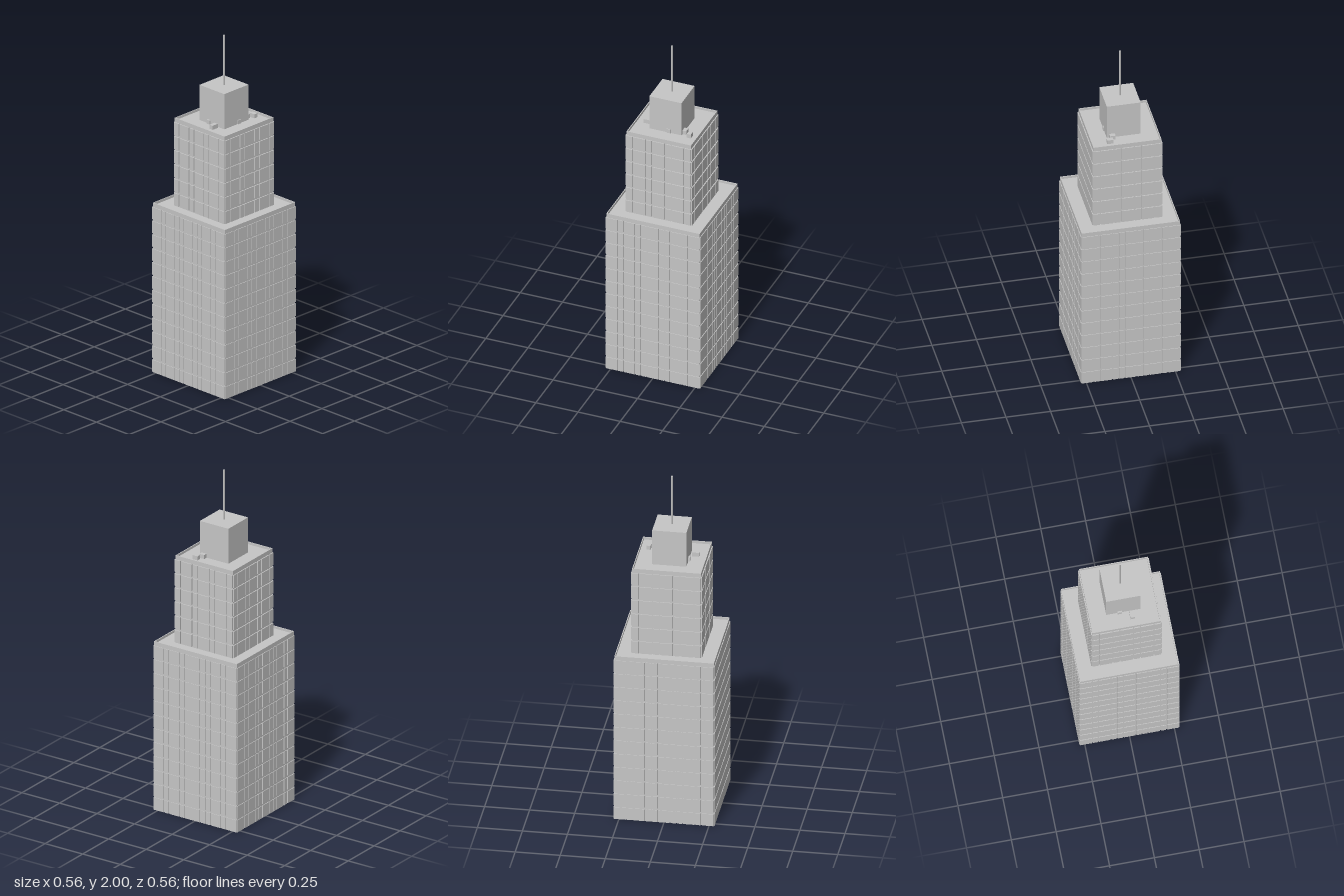
import * as THREE from 'three';
import { mergeGeometries } from 'three/addons/utils/BufferGeometryUtils.js';

const concrete = new THREE.MeshStandardMaterial({ color: 0xc6c6c6 });
concrete.name = 'concrete grey';

function add(group, name, geometry, x = 0, y = 0, z = 0) {
  const mesh = new THREE.Mesh(geometry, concrete);
  mesh.name = name;
  mesh.position.set(x, y, z);
  group.add(mesh);
  return mesh;
}

// Box given by its limits on each axis
function boxBetween(x0, x1, y0, y1, z0, z1) {
  return new THREE.BoxGeometry(x1 - x0, y1 - y0, z1 - z0)
    .translate((x0 + x1) / 2, (y0 + y1) / 2, (z0 + z1) / 2);
}

// Square tube standing on y = 0
function squareTube(outer, inner, height) {
  const square = (r) => [[-r, -r], [r, -r], [r, r], [-r, r]].map(([x, y]) => new THREE.Vector2(x, y));
  const shape = new THREE.Shape(square(outer));
  shape.holes.push(new THREE.Path(square(inner).reverse()));
  return new THREE.ExtrudeGeometry(shape, { depth: height, bevelEnabled: false }).rotateX(-Math.PI / 2);
}

// Raised facade panels of one side, column widths in relative units
function facade(wall, face, height, floors, columns) {
  const unit = (2 * wall) / columns.reduce((a, b) => a + b, 0);
  const step = height / floors;
  const gapX = 0.006, gapY = 0.01;
  const panels = [];
  for (let f = 0; f < floors; f++) {
    let x = -wall;
    columns.forEach((c, i) => {
      const x0 = x + (i === 0 ? 0 : gapX / 2);
      x += c * unit;
      const x1 = x - (i === columns.length - 1 ? 0 : gapX / 2);
      panels.push(boxBetween(x0, x1, f * step, (f + 1) * step - gapY, wall - 0.001, face));
    });
  }
  return mergeGeometries(panels);
}

// Hollow tier with parapet, roof and four panelled sides
function tier(name, base, wall, face, height, floors, columns) {
  const group = new THREE.Group();
  group.name = name;
  group.position.y = base;
  const inner = wall - 0.005;
  add(group, 'wallAndParapet', squareTube(wall, inner, height + 0.01));
  add(group, 'roof', boxBetween(-inner, inner, height - 0.012, height - 0.004, -inner, inner));
  const panels = facade(wall, face, height - 0.005, floors, columns);
  ['front', 'left', 'back', 'right'].forEach((side, i) => {
    add(group, side + 'Panels', panels).rotation.y = (i * Math.PI) / 2;
  });
  return group;
}

export function createModel() {
  const tower = new THREE.Group();
  tower.name = 'tower';

  tower.add(tier('lowerTier', 0, 0.276, 0.28, 0.995, 12, [2, 1, 2, 1, 1, 2, 1, 1, 2, 1, 2]));
  tower.add(tier('upperTier', 0.99, 0.191, 0.197, 0.51, 6, [1, 2, 1, 2, 1, 2, 1]));

  // Penthouse and mast
  add(tower, 'penthouse', boxBetween(-0.095, 0.095, 1.492, 1.705, -0.095, 0.095));
  add(tower, 'mast', new THREE.CylinderGeometry(0.005, 0.005, 0.3, 12), 0, 1.85, 0);

  // Rooftop service boxes: x0, x1, z0, z1
  [
    [-0.145, -0.105, 0.031, 0.055],
    [0.09, 0.118, 0.05, 0.082],
    [0.13, 0.154, 0.07, 0.105],
    [-0.104, -0.09, -0.033, -0.009],
    [0.008, 0.03, 0.09, 0.1],
  ].forEach(([x0, x1, z0, z1]) => add(tower, 'serviceBox', boxBetween(x0, x1, 1.494, 1.52, z0, z1)));

  return tower;
}
